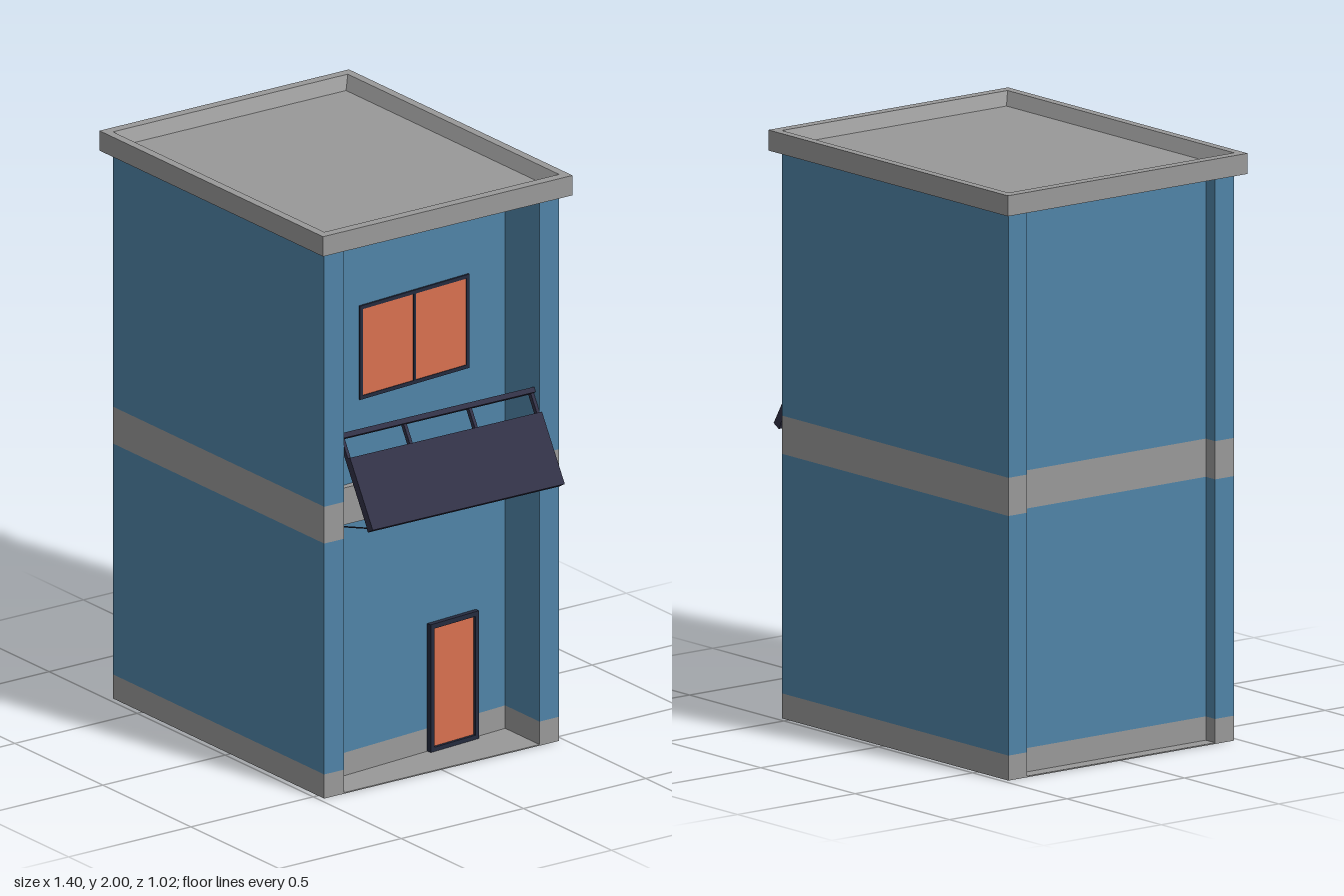
import * as THREE from 'three';

const material = (name, color) => {
  const m = new THREE.MeshStandardMaterial({ color });
  m.name = name;
  return m;
};

export function createModel() {
  const blue = material('wall blue', 0x4f83a7);
  const grey = material('concrete grey', 0x999999);
  const orange = material('orange panes', 0xd8704f);
  const dark = material('dark frame', 0x242a3d);
  const railMat = material('railing dark', 0x313146);

  const model = new THREE.Group();
  model.name = 'building';

  const add = (parent, name, geometry, mat) => {
    const mesh = new THREE.Mesh(geometry, mat);
    mesh.name = name;
    parent.add(mesh);
    return mesh;
  };
  // Box given by its minimum and maximum corners
  const box = (parent, name, mat, [x0, y0, z0], [x1, y1, z1]) => {
    const g = new THREE.BoxGeometry(x1 - x0, y1 - y0, z1 - z0);
    g.translate((x0 + x1) / 2, (y0 + y1) / 2, (z0 + z1) / 2);
    return add(parent, name, g, mat);
  };

  // Building outline, recessed between the corner piers on both ends
  const L = -0.665, R = 0.535, Z = 0.48, N = 0.4;
  const backL = -0.615;
  const layer = (name, mat, y0, y1, xPlus, xMinus) => {
    const outline = [
      [R, Z], [R, N], [xPlus, N], [xMinus, -N], [R, -N], [R, -Z],
      [L, -Z], [L, -N], [backL, -N], [backL, N], [L, N], [L, Z],
    ].map(([x, z]) => new THREE.Vector2(x, -z));
    const g = new THREE.ExtrudeGeometry(new THREE.Shape(outline), { depth: y1 - y0, bevelEnabled: false });
    g.rotateX(-Math.PI / 2);
    g.translate(0, y0, 0);
    add(model, name, g, mat);
  };
  const wallPlus = 0.411, wallMinus = 0.34; // the facade wall runs at a slight slant
  layer('plinth', grey, 0, 0.085, wallPlus, wallMinus);
  layer('lowerWalls', blue, 0.085, 0.9, wallPlus, wallMinus);
  layer('floorBand', grey, 0.9, 1.03, 0.425, 0.425);
  layer('upperWalls', blue, 1.03, 1.93, wallPlus, wallMinus);

  // Thin floors and ceilings of the recesses
  for (const [side, x0, x1] of [['left', wallMinus, R], ['right', L, backL]]) {
    box(model, side + 'RecessFloor', grey, [x0, 0, -N], [x1, 0.004, N]);
    box(model, side + 'RecessCeiling', blue, [x0, 1.926, -N], [x1, 1.93, N]);
  }

  // Roof slab with a sunken top, from rectangular loops
  const loops = [
    [0.635, 0.51, 1.93], [0.635, 0.51, 2], [0.6, 0.48, 2], [0.575, 0.455, 1.955],
  ].map(([hx, hz, y]) =>
    [[1, 1], [1, -1], [-1, -1], [-1, 1]].map(([sx, sz]) => [-0.065 + sx * hx, y, sz * hz]));
  const pos = [];
  const quad = (a, b, c, d) => pos.push(...a, ...b, ...c, ...a, ...c, ...d);
  for (let k = 0; k < loops.length - 1; k++) {
    for (let i = 0; i < 4; i++) {
      const j = (i + 1) % 4;
      quad(loops[k][i], loops[k][j], loops[k + 1][j], loops[k + 1][i]);
    }
  }
  quad(...loops[3]);
  quad(...[...loops[0]].reverse());
  const roof = new THREE.BufferGeometry();
  roof.setAttribute('position', new THREE.Float32BufferAttribute(pos, 3));
  roof.computeVertexNormals();
  add(model, 'roof', roof, grey);

  // Window and door lie on the slanted wall; local x points out of it
  const facade = new THREE.Group();
  facade.name = 'facadeOpenings';
  facade.position.x = (wallPlus + wallMinus) / 2;
  facade.rotation.y = Math.atan2(wallPlus - wallMinus, 2 * N);
  model.add(facade);

  const opening = (name, y0, y1, z0, z1, bar, depth, paneDepth) => {
    const g = new THREE.Group();
    g.name = name;
    facade.add(g);
    box(g, name + 'Pane', orange, [-0.002, y0 + bar, z0 + bar], [paneDepth, y1 - bar, z1 - bar]);
    for (const z of [z0, z1 - bar]) box(g, name + 'Jamb', dark, [-0.002, y0, z], [depth, y1, z + bar]);
    for (const y of [y0, y1 - bar]) box(g, name + 'Crossbar', dark, [-0.002, y, z0 + bar], [depth, y + bar, z1 - bar]);
    return g;
  };
  const windowGroup = opening('window', 1.317, 1.648, -0.24, 0.24, 0.013, 0.007, 0.004);
  box(windowGroup, 'windowMullion', dark, [0, 1.33, -0.005], [0.007, 1.635, 0.005]);
  opening('door', 0.002, 0.455, -0.272, -0.06, 0.017, 0.018, 0.008);

  // Balcony railing tipped outwards
  const railing = new THREE.Group();
  railing.name = 'railing';
  railing.position.set(0.588, 1.11, 0);
  railing.rotation.set(-0.0125, 0.019, 0.54);
  model.add(railing);
  const H = 0.17;
  box(railing, 'railingPanel', railMat, [0.003, -H, -0.398], [0.016, 0.083, 0.398]);
  box(railing, 'topRail', railMat, [-0.015, H - 0.018, -0.398], [0.016, H, 0.398]);
  box(railing, 'bottomRail', railMat, [-0.015, -H, -0.398], [0.003, -H + 0.018, 0.398]);
  for (const z of [-0.392, -0.135, 0.135, 0.392]) {
    box(railing, 'railingPost', railMat, [-0.013, -H + 0.018, z - 0.006], [0.003, H - 0.018, z + 0.006]);
  }

  // Thin rods tying the railing to the slab
  for (const z of [0.387, -0.375]) {
    const line = new THREE.LineCurve3(new THREE.Vector3(0.42, 0.91, z), new THREE.Vector3(0.66, 0.972, z + 0.004));
    add(model, 'tieRod', new THREE.TubeGeometry(line, 1, 0.0025, 6), railMat);
  }

  return model;
}
